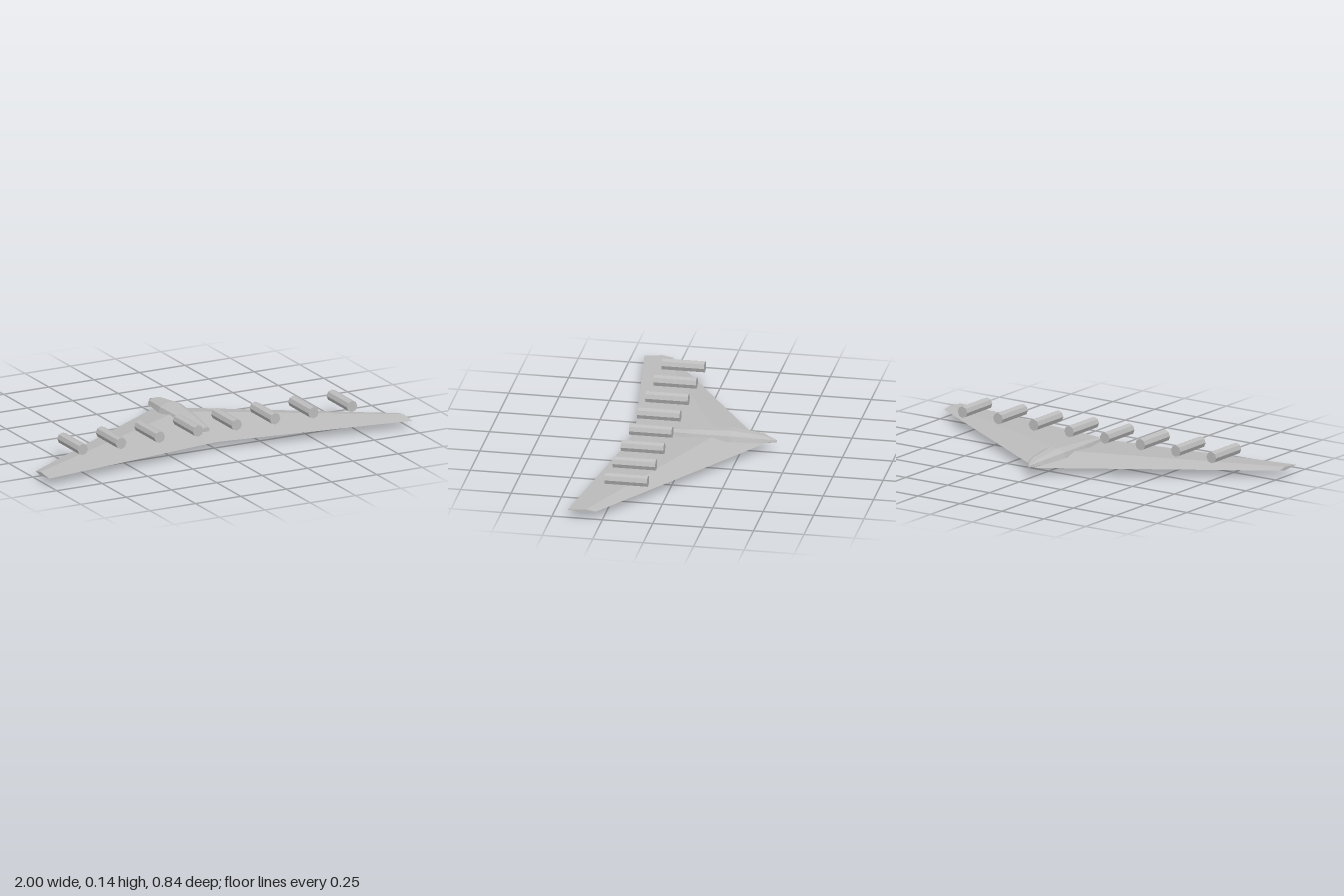
import * as THREE from 'three';

// Joins equal-sized closed cross-sections (arrays of [x, y, z]) into a capped solid with flat facets.
// Sections run clockwise as seen from the side the loft heads towards.
function loft(sections) {
  const pos = [];
  const tri = (a, b, c) => pos.push(...a, ...b, ...c);
  const n = sections[0].length;
  for (let i = 0; i < sections.length - 1; i++) {
    const p = sections[i], q = sections[i + 1];
    for (let j = 0; j < n; j++) {
      const k = (j + 1) % n;
      tri(p[j], q[j], q[k]);
      tri(p[j], q[k], p[k]);
    }
  }
  const first = sections[0], last = sections[sections.length - 1];
  for (let j = 1; j < n - 1; j++) {
    tri(first[0], first[j], first[j + 1]);
    tri(last[0], last[j + 1], last[j]);
  }
  const g = new THREE.BufferGeometry();
  g.setAttribute('position', new THREE.Float32BufferAttribute(pos, 3));
  g.computeVertexNormals();
  return g;
}

export function createModel() {
  const model = new THREE.Group();
  model.name = 'flyingWing';
  const grey = new THREE.MeshStandardMaterial({ color: 0xbcbcbc, flatShading: true });
  grey.name = 'airframe grey';

  const add = (geometry, name) => {
    const mesh = new THREE.Mesh(geometry, grey);
    mesh.name = name;
    model.add(mesh);
    return mesh;
  };

  // Swept wing: diamond section, tapering from the root to both tips
  const airfoil = (x, lead, chord) => [
    [x, 0.04, lead],
    [x, 0.04 - 0.0625 * chord, lead + 0.3 * chord],
    [x, 0.04, lead + chord],
    [x, 0.04 + 0.0625 * chord, lead + 0.35 * chord],
  ];
  add(loft([airfoil(-1, 0.282, 0.14), airfoil(0, -0.36, 0.64), airfoil(1, 0.282, 0.14)]), 'wing');

  // Central cabin: faceted pod, stations from nose to tail
  // [z, half width, bottom y, lower edge y, upper edge y, top y]
  const stations = [
    [-0.422, 0.004, 0.054, 0.056, 0.063, 0.067],
    [-0.355, 0.046, 0.054, 0.062, 0.082, 0.091],
    [-0.205, 0.068, 0.053, 0.065, 0.092, 0.108],
    [0, 0.05, 0.054, 0.064, 0.085, 0.097],
    [0.165, 0.021, 0.06, 0.064, 0.076, 0.082],
  ];
  add(loft(stations.map(([z, w, bottom, low, high, top]) => [
    [0.35 * w, top, z], [0.85 * w, high, z], [w, low, z], [0.5 * w, bottom, z],
    [-0.5 * w, bottom, z], [-w, low, z], [-0.85 * w, high, z], [-0.35 * w, top, z],
  ])), 'cabin');

  // Eight engines in a row above the trailing part of the wing
  const engineGeometry = new THREE.CylinderGeometry(0.029, 0.029, 0.211, 8).rotateX(Math.PI / 2);
  for (let i = 0; i < 8; i++) {
    add(engineGeometry, 'engine' + (i + 1)).position.set((i - 3.5) * 0.212, 0.112, 0.178);
  }
  return model;
}
